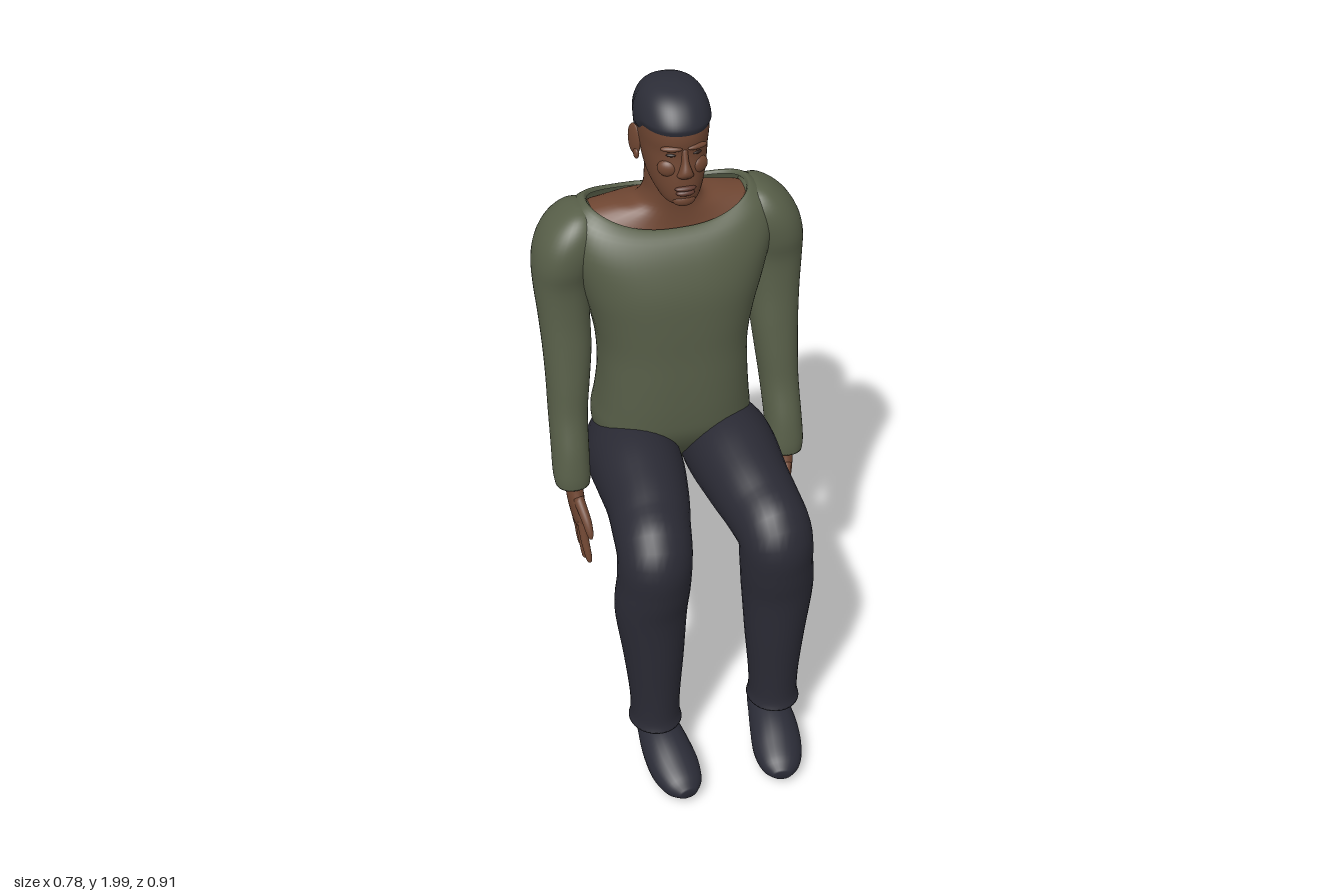
import * as THREE from 'three';

const mat = (name, color, side = THREE.FrontSide) => {
  const m = new THREE.MeshStandardMaterial({ color, side });
  m.name = name;
  return m;
};

// Catmull-Rom sample of a table of equally long rows at fractional row index t
function at(rows, t) {
  const n = rows.length - 1, i = Math.min(Math.floor(t), n - 1), f = t - i;
  const [p, a, b, q] = [rows[Math.max(i - 1, 0)], rows[i], rows[i + 1], rows[Math.min(i + 2, n)]];
  return a.map((_, k) => a[k] + 0.5 * f * (b[k] - p[k] + f * (2 * p[k] - 5 * a[k] + 4 * b[k] - q[k]
    + f * (3 * (a[k] - b[k]) + q[k] - p[k]))));
}

// Pads short rows with zeros, then samples k steps per row
function dense(rows, k) {
  const w = Math.max(...rows.map(r => r.length));
  const full = rows.map(r => [...r, ...Array(w - r.length).fill(0)]);
  return Array.from({ length: (rows.length - 1) * k + 1 }, (_, i) => at(full, i / k));
}

// Closed surface through loops of points
function surface(loops, capStart = true, capEnd = true) {
  const n = loops[0].length, pos = [], idx = [];
  loops.forEach(l => l.forEach(p => pos.push(p.x, p.y, p.z)));
  for (let i = 0; i < loops.length - 1; i++) for (let j = 0; j < n; j++) {
    const a = i * n + j, b = i * n + (j + 1) % n, c = a + n, d = b + n;
    idx.push(a, c, b, b, c, d);
  }
  const cap = (loop, base, flip) => {
    const c = loop.reduce((s, p) => s.add(p), new THREE.Vector3()).divideScalar(n);
    const k = pos.length / 3;
    pos.push(c.x, c.y, c.z);
    for (let j = 0; j < n; j++) {
      const a = base + j, b = base + (j + 1) % n;
      idx.push(k, ...(flip ? [b, a] : [a, b]));
    }
  };
  if (capStart) cap(loops[0], 0, false);
  if (capEnd) cap(loops[loops.length - 1], (loops.length - 1) * n, true);
  const g = new THREE.BufferGeometry();
  g.setAttribute('position', new THREE.Float32BufferAttribute(pos, 3));
  g.setIndex(idx);
  g.computeVertexNormals();
  return g;
}

const sup = (v, e) => Math.sign(v) * Math.abs(v) ** (2 / e);

// Point on a level ring: [y, centre x, half width, front z, back z, front lift, side lift, back lift]
function ringPoint([y, cx, rx, zf, zb, df = 0, ds = 0, db = 0], th, e) {
  const c = Math.cos(th), s = Math.sin(th);
  return new THREE.Vector3(cx + rx * sup(c, e), y + ds * c * c + (s > 0 ? df : db) * s * s,
    (zf + zb) / 2 + (zf - zb) / 2 * sup(s, e));
}

// Stacked level rings, listed from bottom to top
function rings(rows, { n = 36, e = 2.2, k = 4, deform = p => p, caps = [true, true] } = {}) {
  return surface(dense(rows, k).map(r => Array.from({ length: n },
    (_, j) => deform(ringPoint(r, j / n * Math.PI * 2, e)))), ...caps);
}

// Ellipses along a path: [x, y, z, half size along ref, half size across]
function limb(rows, ref, n = 24) {
  const rs = dense(rows, 5), P = rs.map(r => new THREE.Vector3(r[0], r[1], r[2]));
  return surface(rs.map((r, i) => {
    const T = P[Math.min(i + 1, P.length - 1)].clone().sub(P[Math.max(i - 1, 0)]).normalize();
    const S = ref.clone().addScaledVector(T, -ref.dot(T)).normalize();
    const U = S.clone().cross(T);
    return Array.from({ length: n }, (_, j) => {
      const th = j / n * Math.PI * 2;
      return P[i].clone().addScaledVector(S, r[3] * Math.cos(th)).addScaledVector(U, r[4] * Math.sin(th));
    });
  }));
}

export function createModel() {
  const skin = mat('skin', 0x6f4632), lip = mat('lips', 0x5e392e), hair = mat('hair', 0x2c2d37);
  const shirt = mat('shirt', 0x575e48, THREE.DoubleSide), pants = mat('trousers', 0x2a2a34);
  const shoe = mat('shoes', 0x2b2c37), dark = mat('eyes', 0x2e211c);
  const X = new THREE.Vector3(1, 0, 0), Z = new THREE.Vector3(0, 0, 1);
  const model = new THREE.Group();
  model.name = 'seatedMan';
  const add = (name, geo, material) => {
    const m = new THREE.Mesh(geo, material);
    m.name = name;
    model.add(m);
    return m;
  };
  const blob = (name, material, [x, y, z], [a, b, c], ry = 0) => {
    const m = add(name, new THREE.SphereGeometry(1, 20, 14), material);
    m.position.set(x, y, z);
    m.scale.set(a, b, c);
    m.rotation.y = ry;
  };

  // Shirt body with spine groove, open at the wide neckline
  add('shirtBody', rings([
    [0.715, 0, 0.07, -0.27, -0.39], [0.75, 0, 0.14, -0.22, -0.427], [0.80, 0, 0.19, -0.17, -0.447],
    [0.86, 0, 0.22, -0.11, -0.455], [0.93, 0, 0.23, -0.07, -0.446], [1.0, 0, 0.222, -0.06, -0.425],
    [1.1, 0, 0.214, -0.058, -0.405], [1.2, 0, 0.216, -0.06, -0.418], [1.3, 0, 0.235, -0.06, -0.43],
    [1.4, 0, 0.265, -0.066, -0.437], [1.49, 0, 0.295, -0.092, -0.433, 0, 0.03, 0.02],
    [1.55, 0, 0.28, -0.125, -0.415, 0, 0.05, 0.035], [1.575, 0, 0.237, -0.158, -0.392, 0, 0.062, 0.03],
    [1.567, 0, 0.225, -0.164, -0.384, 0, 0.058, 0.03],
  ], {
    n: 64, e: 2.5, caps: [true, false],
    deform: p => {
      if (p.z < -0.3) p.z += (p.y < 0.95 ? 0.022 : 0.012) * Math.exp(-((p.x / 0.04) ** 2));
      return p;
    },
  }), shirt);

  // Bare upper chest and neck
  add('neck', rings([
    [1.545, 0, 0.234, -0.165, -0.388, 0, 0.07, 0.03], [1.578, 0, 0.16, -0.17, -0.365, 0, 0.05, 0.03],
    [1.625, 0, 0.1, -0.172, -0.335, 0, 0.01, 0], [1.67, 0, 0.076, -0.168, -0.313],
    [1.72, 0, 0.072, -0.16, -0.305], [1.78, 0, 0.07, -0.15, -0.3],
  ], { n: 40 }), skin);

  // Head, and hair grown over it above the hairline
  const headRows = [
    [1.683, 0, 0.03, -0.1, -0.17], [1.70, 0, 0.052, -0.084, -0.22], [1.74, 0, 0.073, -0.077, -0.3],
    [1.79, 0, 0.084, -0.079, -0.33], [1.84, 0, 0.091, -0.084, -0.349], [1.88, 0, 0.095, -0.079, -0.355],
    [1.92, 0, 0.095, -0.086, -0.352], [1.96, 0, 0.08, -0.115, -0.328], [1.985, 0, 0.052, -0.155, -0.288],
    [1.996, 0, 0.012, -0.208, -0.232],
  ];
  add('head', rings(headRows, { n: 40 }), skin);
  const hairLoops = [];
  for (let v = 0; v <= 20; v++) hairLoops.push(Array.from({ length: 64 }, (_, j) => {
    const th = j / 64 * Math.PI * 2, s = Math.sin(th), ss = THREE.MathUtils.smoothstep;
    const t0 = 2.9 + 1.9 * ss(s, -0.38, -0.12) + 0.7 * ss(s, 0, 0.35);
    const r = at(headRows, t0 + (9 - t0) * v / 20), o = v ? 0.005 : 0;
    return ringPoint([r[0] + o * 0.8, 0, r[2] + o, r[3] + o, r[4] - o], th, 2.2);
  }));
  add('hair', surface(hairLoops, false, true), hair);

  // Face
  add('nose', rings([
    [1.772, 0, 0.012, -0.077, -0.1], [1.782, 0, 0.023, -0.064, -0.1], [1.797, 0, 0.018, -0.058, -0.1],
    [1.825, 0, 0.01, -0.069, -0.1], [1.86, 0, 0.009, -0.082, -0.1],
  ], { n: 20 }), skin);
  blob('upperLip', lip, [0, 1.744, -0.08], [0.03, 0.008, 0.012]);
  blob('lowerLip', lip, [0, 1.73, -0.081], [0.026, 0.009, 0.012]);
  blob('chin', skin, [0, 1.703, -0.096], [0.032, 0.02, 0.018]);

  for (const s of [1, -1]) {
    const side = s > 0 ? 'left' : 'right';
    const part = (name, rows, ref, material, n) =>
      add(side + name, limb(rows.map(([x, ...r]) => [x * s, ...r]), ref, n), material);

    blob(side + 'Eye', dark, [s * 0.036, 1.842, -0.0935], [0.014, 0.005, 0.006], s * 0.35);
    blob(side + 'Brow', skin, [s * 0.036, 1.862, -0.09], [0.03, 0.008, 0.01], s * 0.3);
    blob(side + 'Cheek', skin, [s * 0.045, 1.8, -0.103], [0.027, 0.024, 0.016], s * 0.5);
    blob(side + 'Ear', skin, [s * 0.098, 1.823, -0.243], [0.009, 0.047, 0.028], -s * 0.35);
    blob(side + 'EarLobe', skin, [s * 0.096, 1.785, -0.232], [0.008, 0.017, 0.014]);

    // Sleeve with rounded shoulder
    add(side + 'Sleeve', rings([
      [0.782, 0.322, 0.05, -0.1, -0.205], [0.82, 0.322, 0.054, -0.1, -0.22], [0.9, 0.32, 0.054, -0.112, -0.25],
      [1.0, 0.316, 0.056, -0.138, -0.283], [1.1, 0.31, 0.062, -0.15, -0.298], [1.2, 0.306, 0.069, -0.163, -0.312],
      [1.3, 0.308, 0.073, -0.175, -0.328], [1.4, 0.309, 0.08, -0.178, -0.35], [1.47, 0.302, 0.087, -0.165, -0.37],
      [1.53, 0.287, 0.088, -0.165, -0.378], [1.58, 0.27, 0.074, -0.18, -0.372],
      [1.615, 0.258, 0.042, -0.21, -0.345], [1.63, 0.25, 0.012, -0.255, -0.3],
    ].map(([y, cx, ...r]) => [y, cx * s, ...r])), shirt);

    // Hand
    part('Palm', [[0.322, 0.84, -0.155, 0.035, 0.028], [0.32, 0.78, -0.15, 0.036, 0.025],
      [0.315, 0.72, -0.145, 0.05, 0.024], [0.309, 0.66, -0.145, 0.052, 0.019],
      [0.305, 0.63, -0.145, 0.043, 0.012]], Z, skin);
    part('Thumb', [[0.315, 0.745, -0.115, 0.018, 0.016], [0.303, 0.695, -0.07, 0.015, 0.014],
      [0.298, 0.66, -0.048, 0.011, 0.01], [0.297, 0.645, -0.04, 0.004, 0.004]], Z, skin, 12);
    [[-0.108, -0.075, 0.535], [-0.134, -0.13, 0.51], [-0.16, -0.18, 0.522], [-0.184, -0.22, 0.555]]
      .forEach(([z0, z1, y1], i) => part('Finger' + (i + 1), [
        [0.309, 0.67, z0, 0.013, 0.014], [0.304, (0.67 + y1) / 2, (z0 + z1) / 2, 0.012, 0.012],
        [0.297, y1 + 0.012, z1, 0.009, 0.009], [0.296, y1, z1, 0.003, 0.003],
      ], Z, skin, 12));

    // Trouser leg from hip over the knee to the hem
    part('TrouserLeg', [
      [0.11, 0.79, -0.39, 0.04, 0.05], [0.13, 0.805, -0.33, 0.1, 0.09], [0.14, 0.825, -0.2, 0.13, 0.128],
      [0.142, 0.835, -0.08, 0.132, 0.138], [0.15, 0.822, 0.05, 0.12, 0.126], [0.163, 0.803, 0.14, 0.112, 0.115],
      [0.175, 0.77, 0.222, 0.106, 0.112], [0.18, 0.68, 0.228, 0.105, 0.106], [0.187, 0.58, 0.218, 0.104, 0.102],
      [0.182, 0.42, 0.22, 0.088, 0.091], [0.18, 0.28, 0.222, 0.074, 0.081], [0.18, 0.2, 0.222, 0.071, 0.08],
      [0.18, 0.167, 0.222, 0.077, 0.088],
    ], X, pants, 32);

    // Ankle and shoe
    part('Ankle', [[0.178, 0.22, 0.215, 0.045, 0.05], [0.175, 0.16, 0.21, 0.046, 0.052],
      [0.172, 0.1, 0.21, 0.045, 0.05]], X, skin);
    part('Shoe', [
      [0.172, 0.128, 0.141, 0.018, 0.025], [0.172, 0.12, 0.162, 0.05, 0.047], [0.17, 0.106, 0.22, 0.062, 0.058],
      [0.165, 0.087, 0.29, 0.071, 0.064], [0.156, 0.065, 0.36, 0.072, 0.057], [0.147, 0.052, 0.42, 0.056, 0.04],
      [0.142, 0.047, 0.453, 0.026, 0.016],
    ], X, shoe);
  }
  return model;
}
